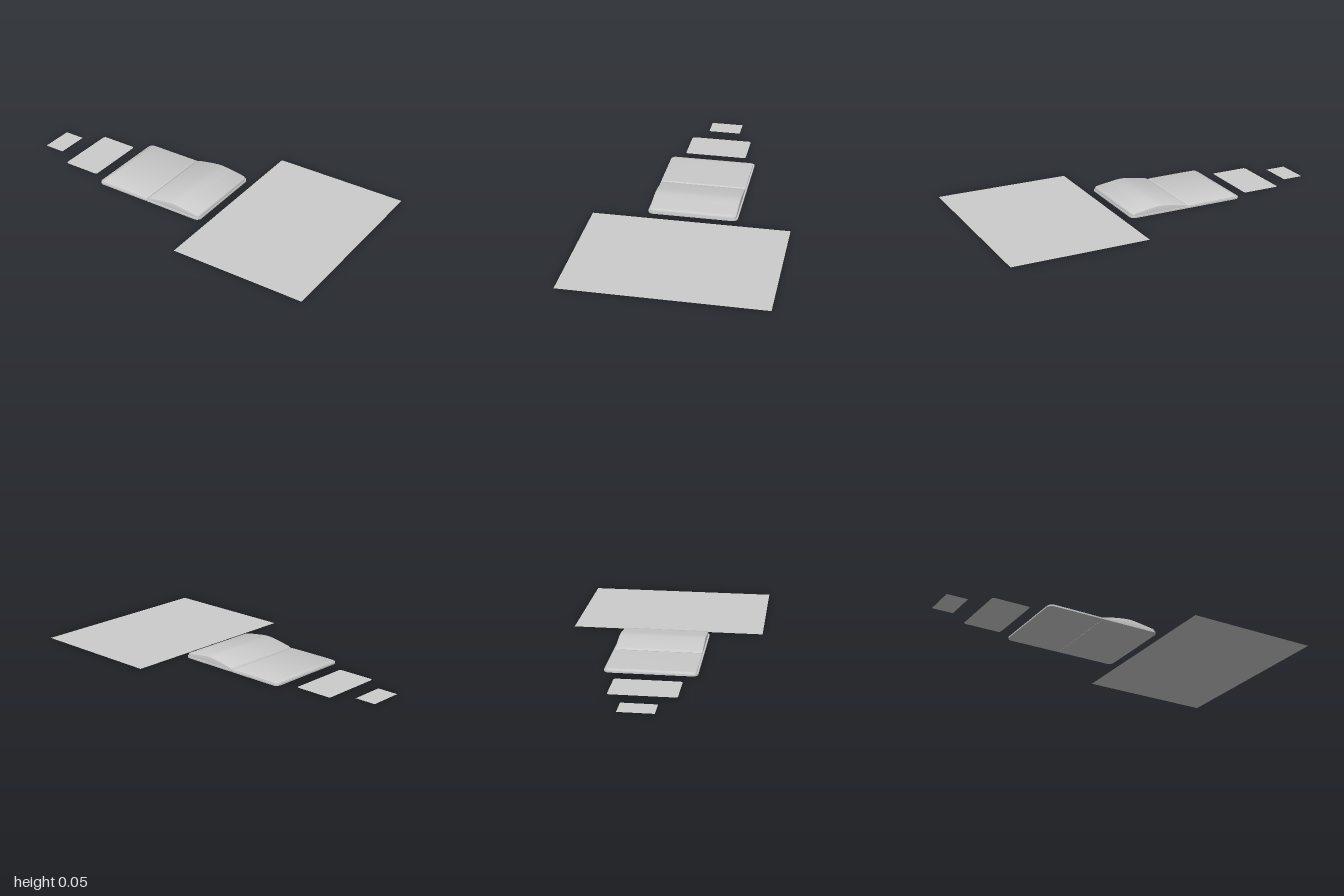
import * as THREE from 'three';
import { toCreasedNormals } from 'three/addons/utils/BufferGeometryUtils.js';

const material = new THREE.MeshStandardMaterial({ color: 0xcccccc, side: THREE.DoubleSide });

function add(group, name, geometry) {
  const mesh = new THREE.Mesh(geometry, material);
  mesh.name = name;
  group.add(mesh);
  return mesh;
}

// Plan outline with separate corner radii for the left (-x) and right (+x) ends
function outline(x0, x1, hz, rl, rr) {
  const s = new THREE.Shape();
  s.moveTo(x0 + rl, -hz);
  s.lineTo(x1 - rr, -hz);
  if (rr) s.absarc(x1 - rr, -hz + rr, rr, -Math.PI / 2, 0);
  s.lineTo(x1, hz - rr);
  if (rr) s.absarc(x1 - rr, hz - rr, rr, 0, Math.PI / 2);
  s.lineTo(x0 + rl, hz);
  if (rl) s.absarc(x0 + rl, hz - rl, rl, Math.PI / 2, Math.PI);
  s.lineTo(x0, -hz + rl);
  if (rl) s.absarc(x0 + rl, -hz + rl, rl, Math.PI, Math.PI * 1.5);
  return s;
}

// Flat paper lying on the ground
function sheet(x0, x1, hz, r) {
  return new THREE.ShapeGeometry(outline(x0, x1, hz, r, r), 6).rotateX(-Math.PI / 2);
}

// Thin cover board
function board(x0, x1, hz, rl, rr, y0, y1) {
  return toCreasedNormals(new THREE.ExtrudeGeometry(outline(x0, x1, hz, rl, rr), {
    depth: y1 - y0, bevelEnabled: false, curveSegments: 8,
  }).rotateX(-Math.PI / 2).translate(0, y0, 0), 0.6);
}

// Page block lofted along x: the top follows a curve, the outer corners are rounded
function pages(profile, hz, roundLeft) {
  const base = 0.009, r = 0.025, n = 48;
  const curve = new THREE.SplineCurve(profile.map(p => new THREE.Vector2(...p)));
  const x0 = profile[0][0], x1 = profile[profile.length - 1][0];
  const columns = [[x0, base]];
  for (let i = 0; i <= n; i++) {
    const p = curve.getPoint(i / n);
    columns.push([p.x, p.y]);
  }
  columns.push([x1, base]);

  const pos = [], index = [], m = 8;
  for (const [x, top] of columns) {
    const d = Math.max(0, r - (roundLeft ? x - x0 : x1 - x));
    const w = hz - r + Math.sqrt(Math.max(0, r * r - d * d));
    const b = Math.min(0.005, top - base);
    const half = [[w, base], [w, top - b], [w - b * 0.3, top - b * 0.3], [w - b, top]];
    for (const [z, y] of half) pos.push(x, y, -z);
    for (const [z, y] of half.reverse()) pos.push(x, y, z);
  }
  for (let i = 0; i < columns.length - 1; i++) {
    for (let j = 0; j < m - 1; j++) {
      const a = i * m + j, c = a + m;
      index.push(a, a + 1, c, c, a + 1, c + 1);
    }
  }
  const g = new THREE.BufferGeometry();
  g.setAttribute('position', new THREE.Float32BufferAttribute(pos, 3));
  g.setIndex(index);
  return toCreasedNormals(g, 0.9);
}

export function createModel() {
  const model = new THREE.Group();
  model.name = 'openNotebookWithSheets';

  // Loose sheets in three sizes
  add(model, 'smallSheet', sheet(-1, -0.88, 0.095, 0));
  add(model, 'mediumSheet', sheet(-0.78, -0.56, 0.18, 0.015));
  add(model, 'largeSheet', sheet(0.235, 1, 0.545, 0));

  // Open notebook: two boards, a spine and two page blocks
  const book = new THREE.Group();
  book.name = 'notebook';
  model.add(book);
  add(book, 'leftBoard', board(-0.485, -0.16, 0.249, 0.03, 0, 0.002, 0.01));
  add(book, 'rightBoard', board(-0.156, 0.19, 0.249, 0, 0.03, 0.002, 0.01));
  add(book, 'spine', board(-0.161, -0.155, 0.248, 0, 0, 0.003, 0.009));
  add(book, 'flatPages', pages(
    [[-0.479, 0.012], [-0.473, 0.016], [-0.45, 0.018], [-0.32, 0.018], [-0.19, 0.017], [-0.165, 0.016], [-0.16, 0.012]],
    0.241, true));
  add(book, 'archedPages', pages(
    [[-0.156, 0.013], [-0.148, 0.02], [-0.12, 0.027], [-0.06, 0.038], [0, 0.046], [0.04, 0.045],
      [0.1, 0.037], [0.16, 0.028], [0.18, 0.024], [0.185, 0.016]],
    0.241, false));
  return model;
}
